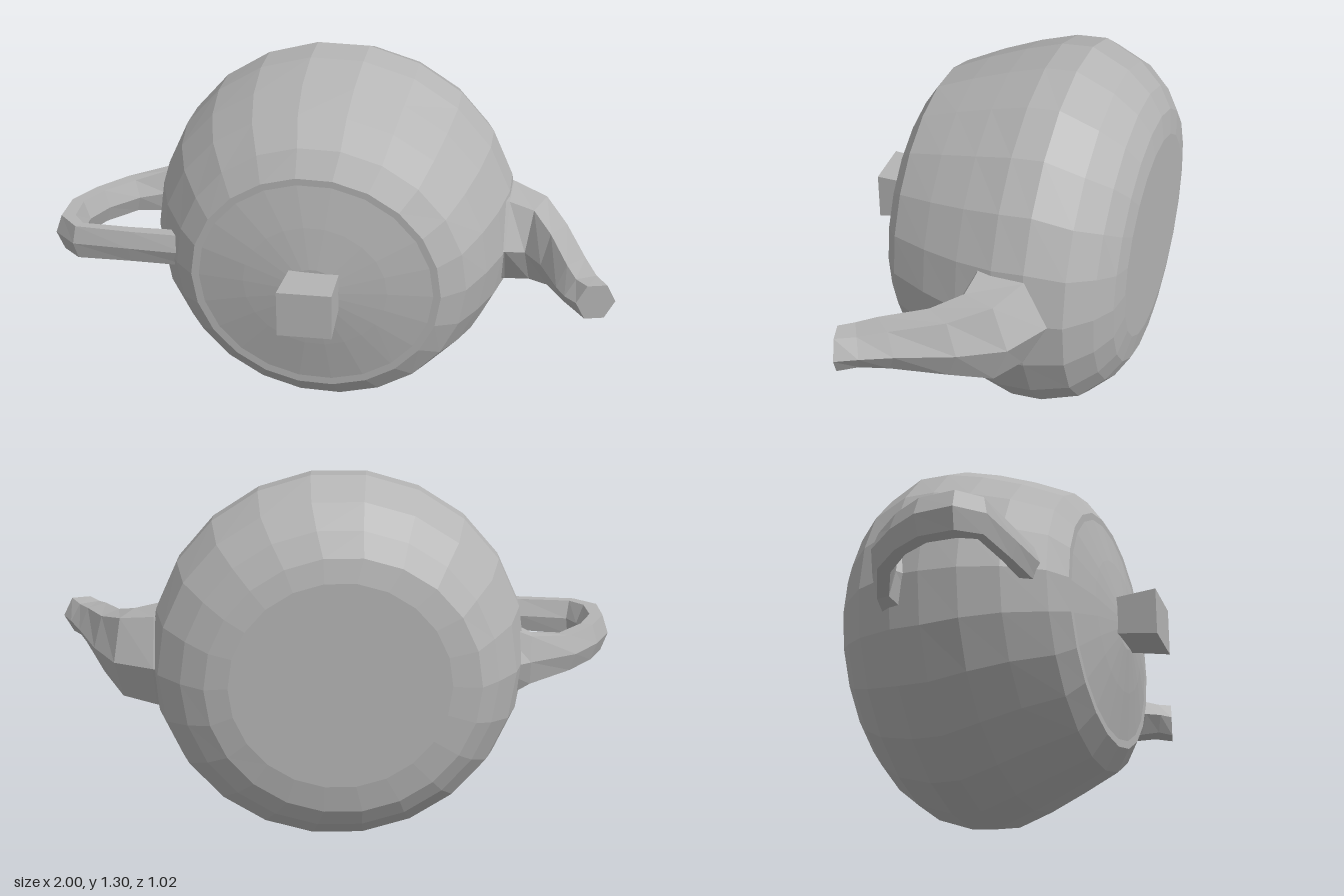
import * as THREE from 'three';

const clay = new THREE.MeshStandardMaterial({ color: 0xb4b4b4, flatShading: true });
clay.name = 'clay grey';

// Skin a row of elliptical rings and cap both ends.
// Ring: [ax, az, bx, bz, y, halfHeight], where a and b are its two edges in plan.
function loft(name, rings, sides, phase = 0) {
  const pos = [], index = [];
  for (const [ax, az, bx, bz, y, h] of rings) {
    for (let j = 0; j < sides; j++) {
      const t = ((j + phase) / sides) * Math.PI * 2;
      const c = Math.cos(t) / 2;
      pos.push((ax + bx) / 2 + (ax - bx) * c, y + h * Math.sin(t), (az + bz) / 2 + (az - bz) * c);
    }
  }
  for (let i = 0; i < rings.length - 1; i++) {
    for (let j = 0; j < sides; j++) {
      const a = i * sides + j, b = i * sides + ((j + 1) % sides);
      index.push(a, b, b + sides, a, b + sides, a + sides);
    }
  }
  const last = (rings.length - 1) * sides;
  for (let j = 1; j < sides - 1; j++) {
    index.push(0, j + 1, j, last, last + j, last + j + 1);
  }
  const geo = new THREE.BufferGeometry();
  geo.setAttribute('position', new THREE.Float32BufferAttribute(pos, 3));
  geo.setIndex(index);
  geo.computeVertexNormals();
  const mesh = new THREE.Mesh(geo, clay);
  mesh.name = name;
  return mesh;
}

// Ring of the pot, square to z: depth, right edge, left edge, bottom, top
const potRing = ([z, x1, x0, y0, y1]) => [x1, z, x0, z, (y0 + y1) / 2, (y1 - y0) / 2];

export function createModel() {
  const group = new THREE.Group();
  group.name = 'teapot';

  // Pot, from its flat base at the back to the shoulder round the lid
  group.add(loft('body', [
    [-0.512, 0.36, -0.38, 0.3, 1.02],
    [-0.495, 0.44, -0.48, 0.2, 1.1],
    [-0.45, 0.52, -0.54, 0.13, 1.18],
    [-0.37, 0.6, -0.61, 0.06, 1.255],
    [-0.24, 0.635, -0.655, 0.01, 1.315],
    [-0.13, 0.635, -0.665, 0.004, 1.305],
    [0, 0.605, -0.65, 0.045, 1.26],
    [0.13, 0.56, -0.6, 0.1, 1.21],
    [0.26, 0.5, -0.515, 0.16, 1.155],
    [0.315, 0.42, -0.45, 0.235, 1.07],
  ].map(potRing), 22));

  // Shallow lid
  group.add(loft('lid', [
    [0.31, 0.42, -0.45, 0.235, 1.07],
    [0.345, 0.24, -0.26, 0.43, 0.9],
    [0.368, 0.08, -0.1, 0.58, 0.75],
  ].map(potRing), 22));

  // Flared square knob; corners lie at 45 degrees, so spans grow by root two
  const k = Math.SQRT2;
  group.add(loft('knob', [
    [0.08 * k, 0.35, -0.09 * k, 0.35, 0.67, 0.068 * k],
    [0.085 * k - 0.004, 0.5, -0.1 * k - 0.004, 0.512, 0.655, 0.085 * k],
  ], 4, 0.5));

  // Spout, bending from the side towards the front
  group.add(loft('spout', [
    [0.5, -0.36, 0.5, 0.03, 0.66, 0.2],
    [0.62, -0.32, 0.61, -0.005, 0.66, 0.185],
    [0.76, -0.24, 0.68, -0.02, 0.655, 0.165],
    [0.845, -0.1, 0.74, 0.06, 0.66, 0.12],
    [0.92, 0.08, 0.8, 0.2, 0.665, 0.085],
    [0.965, 0.18, 0.83, 0.25, 0.665, 0.07],
    [1.0, 0.25, 0.87, 0.285, 0.665, 0.075],
  ], 6));

  // Handle, looping from the back of the pot round to the lid side
  group.add(loft('handle', [
    [-0.55, -0.1, -0.55, -0.33, 0.65, 0.17],
    [-0.68, -0.2, -0.67, -0.29, 0.66, 0.1],
    [-0.77, -0.15, -0.84, -0.21, 0.66, 0.075],
    [-0.86, -0.06, -0.935, -0.1, 0.66, 0.075],
    [-0.905, 0.03, -0.995, 0.01, 0.66, 0.078],
    [-0.9, 0.12, -0.998, 0.14, 0.66, 0.08],
    [-0.87, 0.16, -0.91, 0.215, 0.665, 0.075],
    [-0.7, 0.165, -0.7, 0.23, 0.675, 0.07],
    [-0.48, 0.165, -0.48, 0.245, 0.685, 0.07],
  ], 6));

  return group;
}
